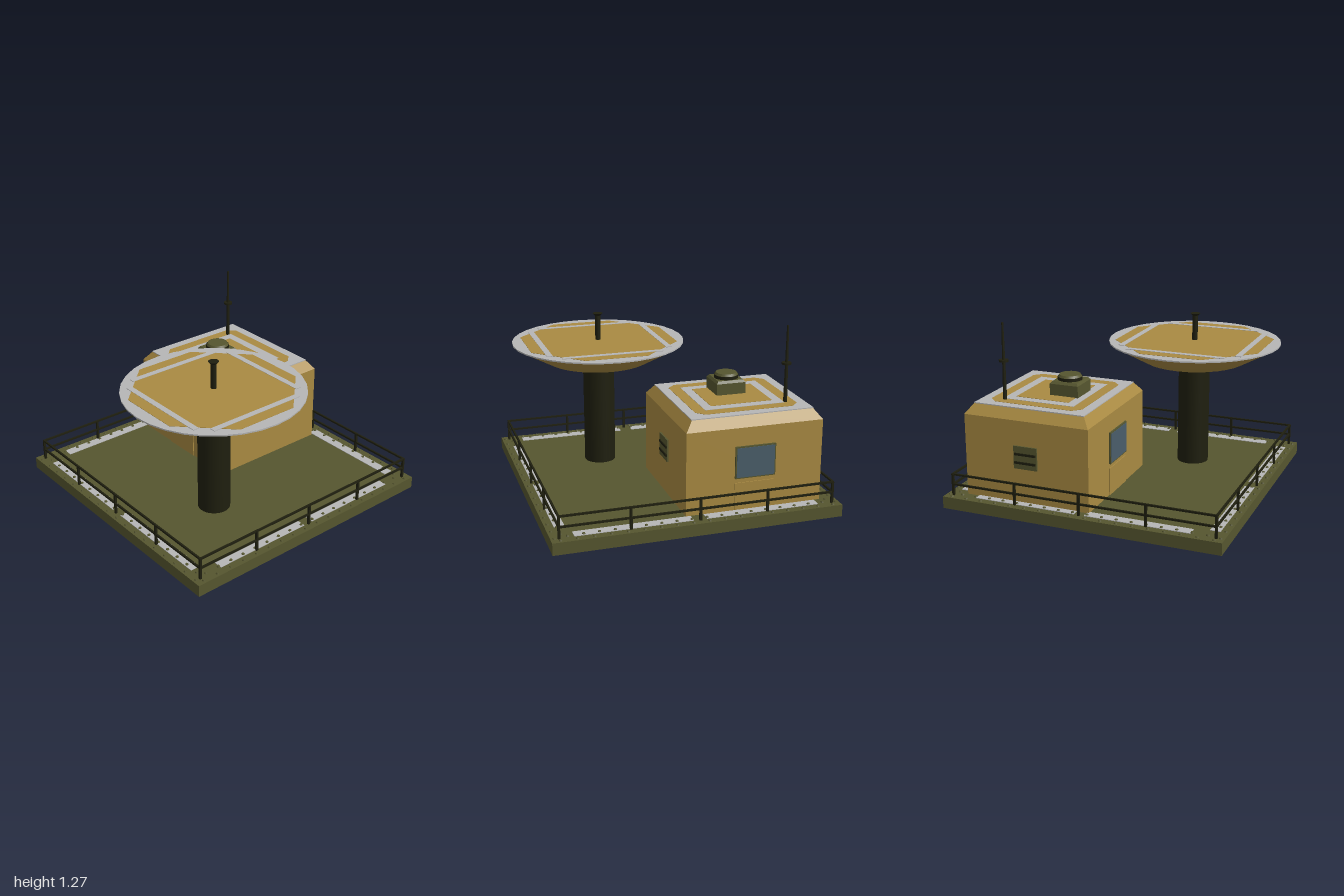
import * as THREE from 'three';

const mat = (name, color, extra = {}) => {
  const m = new THREE.MeshStandardMaterial({ color, ...extra });
  m.name = name;
  return m;
};

export function createModel() {
  const model = new THREE.Group();
  model.name = 'radarStation';
  const ochre = mat('ochre', 0xa98a42);
  const olive = mat('olive', 0x56562f);
  const dark = mat('darkOlive', 0x1f1f0f);
  const white = mat('paleGrey', 0xb6b6b6);
  const glass = mat('blueGlass', 0x4a5e6a);

  const add = (name, geo, material, x = 0, y = 0, z = 0, parent = model) => {
    const mesh = new THREE.Mesh(geo, material);
    mesh.name = name;
    mesh.position.set(x, y, z);
    parent.add(mesh);
    return mesh;
  };
  const group = (name, x = 0, y = 0, z = 0) => {
    const g = new THREE.Group();
    g.name = name;
    g.position.set(x, y, z);
    model.add(g);
    return g;
  };
  const box = (w, h, d) => new THREE.BoxGeometry(w, h, d);
  const cyl = (rTop, rBottom, h, n = 24) => new THREE.CylinderGeometry(rTop, rBottom, h, n);
  const points = (list) => list.map(([x, y]) => new THREE.Vector2(x, y));

  // Square solid of revolution: profile gives half-width and height
  const squareLathe = (profile, sx = 1, sz = 1) => {
    let geo = new THREE.LatheGeometry(points(profile), 4);
    geo.rotateY(Math.PI / 4);
    geo.scale(Math.SQRT2 * sx, 1, Math.SQRT2 * sz);
    geo = geo.toNonIndexed();
    geo.computeVertexNormals();
    return geo;
  };
  // Thin horizontal plate with cut corners
  const plate = (hx, hz, cut, h) => {
    const shape = new THREE.Shape(points([
      [-hx + cut, -hz], [hx - cut, -hz], [hx, -hz + cut], [hx, hz - cut],
      [hx - cut, hz], [-hx + cut, hz], [-hx, hz - cut], [-hx, -hz + cut],
    ]));
    const geo = new THREE.ExtrudeGeometry(shape, { depth: h, bevelEnabled: false });
    geo.rotateX(-Math.PI / 2);
    return geo;
  };

  // Platform with a sloped recess underneath
  const deck = 0.085;
  add('platform', squareLathe([[0, 0.06], [0.935, 0.06], [1, 0], [1, deck], [0, deck]]), olive);

  // Each side: floor stripes, rivets and railing
  const stripeGeo = box(0.8, 0.004, 0.07);
  const rivetGeo = cyl(0.009, 0.013, 0.01, 6);
  const postGeo = box(0.016, 0.155, 0.016);
  for (let i = 0; i < 4; i++) {
    const side = group('platformSide');
    side.rotation.y = i * Math.PI / 2;
    for (const s of [-1, 1]) {
      const stripe = add('floorStripe', stripeGeo, white, s * 0.445, deck + 0.002, 0.907, side);
      if (i % 2) {
        stripe.scale.x = 0.92;
        stripe.position.x = s * 0.405;
      }
    }
    for (let k = 0; k < 18; k++) {
      add('rimRivet', rivetGeo, olive, -0.94 + k * 0.1106, deck + 0.004, 0.975, side);
      add('stripeRivet', rivetGeo, olive, -0.885 + k * 0.1041, deck + 0.006, 0.925, side);
    }
    for (const y of [0.165, 0.238]) add('rail', box(1.9, 0.013, 0.013), dark, 0, y, 0.945, side);
    for (let k = 0; k < 4; k++) add('railPost', postGeo, dark, -0.945 + k * 0.4725, deck + 0.077, 0.945, side);
  }

  // Cabin with sloped shoulders
  const cabin = group('cabin', -0.407, 0, -0.407);
  add('cabinBody', squareLathe([[0, deck], [1, deck], [1, 0.665], [0.89, 0.733], [0, 0.733]], 0.483, 0.457),
    ochre, 0, 0, 0, cabin);

  // Roof markings, stacked as nested thin plates
  add('roofBorder', plate(0.432, 0.407, 0.001, 0.007), white, 0, 0.732, 0, cabin);
  add('roofOuterPanel', plate(0.365, 0.34, 0.055, 0.002), ochre, 0, 0.739, 0, cabin);
  add('roofInnerBorder', plate(0.286, 0.263, 0.001, 0.002), white, 0, 0.741, 0, cabin);
  add('roofInnerPanel', plate(0.222, 0.197, 0.001, 0.002), ochre, 0, 0.743, 0, cabin);

  // Windows with lower panels on front and back, louvres on both sides
  for (const s of [-1, 1]) {
    const face = new THREE.Group();
    face.name = 'windowWall';
    face.rotation.y = s > 0 ? 0 : Math.PI;
    cabin.add(face);
    add('windowFrame', box(0.285, 0.225, 0.02), olive, 0, 0.425, 0.46, face);
    add('windowGlass', box(0.268, 0.208, 0.006), glass, 0, 0.425, 0.47, face);
    add('lowerPanel', box(0.285, 0.195, 0.014), ochre, 0, 0.1825, 0.456, face);

    const vent = new THREE.Group();
    vent.name = 'sideVent';
    vent.rotation.y = s * Math.PI / 2;
    cabin.add(vent);
    add('ventPlate', box(0.172, 0.16, 0.024), olive, 0, 0.41, 0.482, vent);
    for (const y of [0.375, 0.435]) add('ventSlat', box(0.156, 0.016, 0.02), dark, 0, y, 0.492, vent);
  }

  // Roof hatch
  const hatch = group('roofHatch', -0.407, 0, -0.3);
  add('hatchBase', squareLathe([[0, 0.735], [0.106, 0.735], [0.106, 0.825], [0.092, 0.842], [0, 0.842]]),
    olive, 0, 0, 0, hatch);
  add('hatchRing', cyl(0.086, 0.086, 0.022), dark, 0, 0.853, 0, hatch);
  add('hatchLid', cyl(0.073, 0.083, 0.016), olive, 0, 0.872, 0, hatch);

  // Whip antenna
  const antenna = group('antenna', -0.705, 0, -0.65);
  add('antennaMast', cyl(0.007, 0.014, 0.54, 10), dark, 0, 1.005, 0, antenna);
  add('antennaDisc', cyl(0.033, 0.033, 0.014, 12), dark, 0, 1.012, 0, antenna);

  // Dish on its pillar
  const dish = group('dish', 0.35, 0, 0.35);
  add('pillar', cyl(0.114, 0.114, 0.71, 32), dark, 0, 0.44, 0, dish);
  add('dishBowl', new THREE.LatheGeometry(points([[0, 0.79], [0.115, 0.79], [0.375, 0.865], [0.62, 1]]), 32),
    ochre, 0, 0, 0, dish);
  add('dishRim', cyl(0.625, 0.625, 0.01, 32), white, 0, 1.003, 0, dish);
  add('dishPanel', plate(0.535, 0.535, 0.313, 0.002), ochre, 0, 1.008, 0, dish);
  for (const s of [-1, 1]) {
    add('dishStripe', box(0.042, 0.004, 0.72), white, s * 0.431, 1.01, 0, dish);
    add('dishStripe', box(0.72, 0.004, 0.042), white, 0, 1.01, s * 0.431, dish);
  }
  // Feed horn
  add('feedPost', cyl(0.02, 0.02, 0.19, 16), dark, 0, 1.1, 0, dish);
  add('feedHead', cyl(0.037, 0.022, 0.016, 16), dark, 0, 1.198, 0, dish);

  return model;
}
